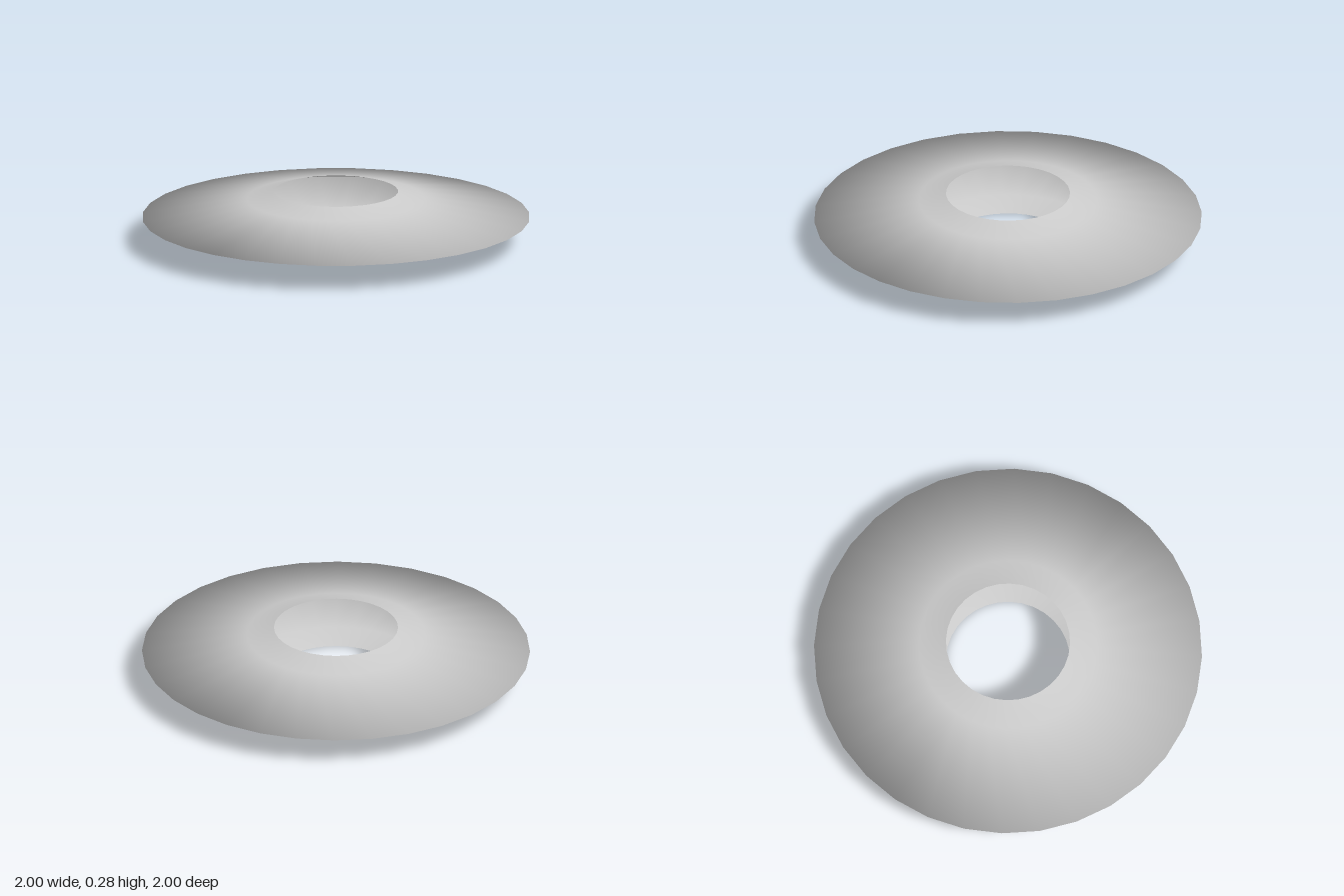
import * as THREE from 'three';

export function createModel() {
  const group = new THREE.Group();
  group.name = 'ringDisc';

  // Cross-section of the hollow ring: lower lip, sharp outer rim, upper lip (open at the hole)
  const profile = [
    [0.32, 0],
    [0.46, 0.04],
    [1, 0.1375],
    [0.46, 0.235],
    [0.32, 0.275],
  ].map(([r, y]) => new THREE.Vector2(r, y));

  // Thin revolved shell, smooth across the rim and seen from both sides
  const shell = new THREE.Mesh(
    new THREE.LatheGeometry(profile, 32),
    new THREE.MeshStandardMaterial({ color: 0xcccccc, side: THREE.DoubleSide })
  );
  shell.name = 'discShell';
  group.add(shell);

  return group;
}
